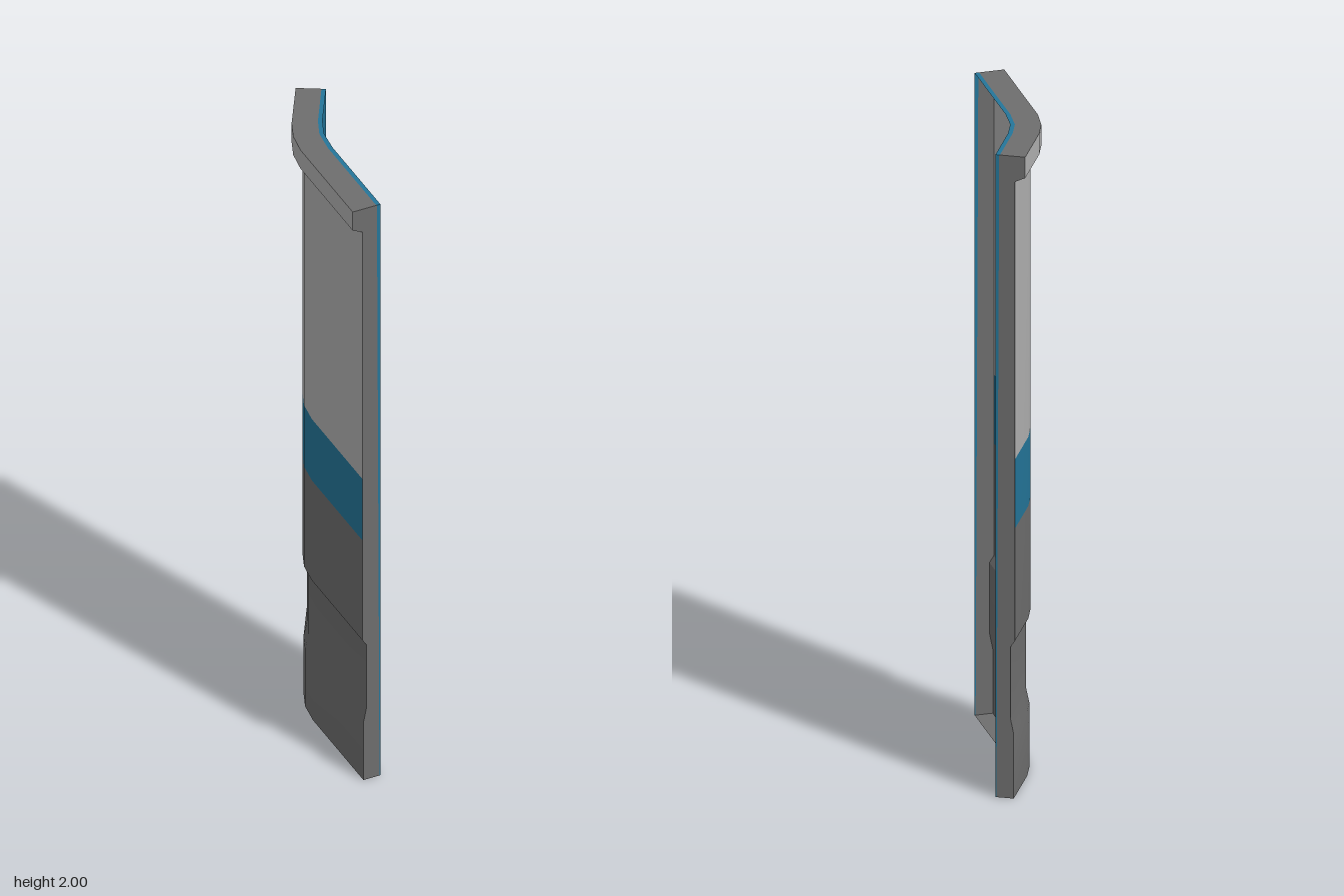
import * as THREE from 'three';
import { mergeVertices, toCreasedNormals } from 'three/addons/utils/BufferGeometryUtils.js';

// Plan of the bent panel: open edge and outermost edge, as [x, z] pairs from front to back
const OPEN = [[-0.012, 0.31], [-0.012, 0], [-0.004, -0.075], [0.021, -0.135], [0.098, -0.27]];
const OUTER = [[-0.1, 0.31], [-0.1, -0.03], [-0.089, -0.1], [-0.065, -0.16], [0.022, -0.312]];
const FULL = 0.088;

// Point at station i, depth d behind the open edge, height y
function at(i, d, y) {
  const t = d / FULL;
  return [
    THREE.MathUtils.lerp(OPEN[i][0], OUTER[i][0], t), y,
    THREE.MathUtils.lerp(OPEN[i][1], OUTER[i][1], t),
  ];
}

// Surface through rows of points
function sheet(name, rows, material) {
  const cols = rows[0].length;
  const index = [];
  for (let r = 0; r < rows.length - 1; r++) {
    for (let c = 0; c < cols - 1; c++) {
      const a = r * cols + c, b = a + cols;
      index.push(a, a + 1, b, a + 1, b + 1, b);
    }
  }
  const geo = new THREE.BufferGeometry();
  geo.setAttribute('position', new THREE.Float32BufferAttribute(rows.flat(2), 3));
  geo.setIndex(index);
  const mesh = new THREE.Mesh(toCreasedNormals(mergeVertices(geo), 0.4), material);
  mesh.name = name;
  return mesh;
}

export function createModel() {
  const make = (name, color) => {
    const m = new THREE.MeshStandardMaterial({ color, side: THREE.DoubleSide });
    m.name = name;
    return m;
  };
  const light = make('light grey', 0xb2b2b2);
  const dark = make('dark grey', 0x6e6e6e);
  const blue = make('blue', 0x24769a);

  const group = new THREE.Group();
  group.name = 'bentPanel';
  const stations = OPEN.map((_, i) => i);

  // Depth profile [depth, height] of each painted zone, bottom to top
  const lower = [[0.054, 0], [0.054, 0.2], [0.044, 0.25], [0.044, 0.47], [0.057, 0.49], [0.057, 0.84]];
  const band = [[0.057, 0.84], [0.057, 1.055]];
  const upper = [[0.057, 1.055], [0.057, 1.92], [FULL, 1.935], [FULL, 2]];
  const wall = (name, profile, material) => group.add(sheet(
    name, profile.map(([d, y]) => stations.map((i) => at(i, d, y))), material));
  wall('lowerWall', lower, dark);
  wall('blueBand', band, blue);
  wall('upperWallAndHead', upper, light);

  // Level plates between two depths
  const plate = (name, y, d0, d1, material) => group.add(sheet(
    name, [d0, d1].map((d) => stations.map((i) => at(i, d, y))), material));
  plate('bottomPlate', 0, 0, 0.054, dark);
  plate('topPlate', 2, 0.013, FULL, dark);
  plate('topEdgeStripe', 2, 0, 0.013, blue);

  // End walls with a tapering blue stripe along the open edge
  const profile = [...lower, ...band.slice(1), ...upper.slice(1)];
  const stripe = (y) => 0.003 + 0.004 * y;
  for (const [name, i] of [['front', 0], ['back', OPEN.length - 1]]) {
    group.add(sheet(name + 'EndWall',
      profile.map(([d, y]) => [at(i, stripe(y), y), at(i, d, y)]), dark));
    group.add(sheet(name + 'EdgeStripe',
      [0, 2].map((y) => [at(i, 0, y), at(i, stripe(y), y)]), blue));
  }
  return group;
}
